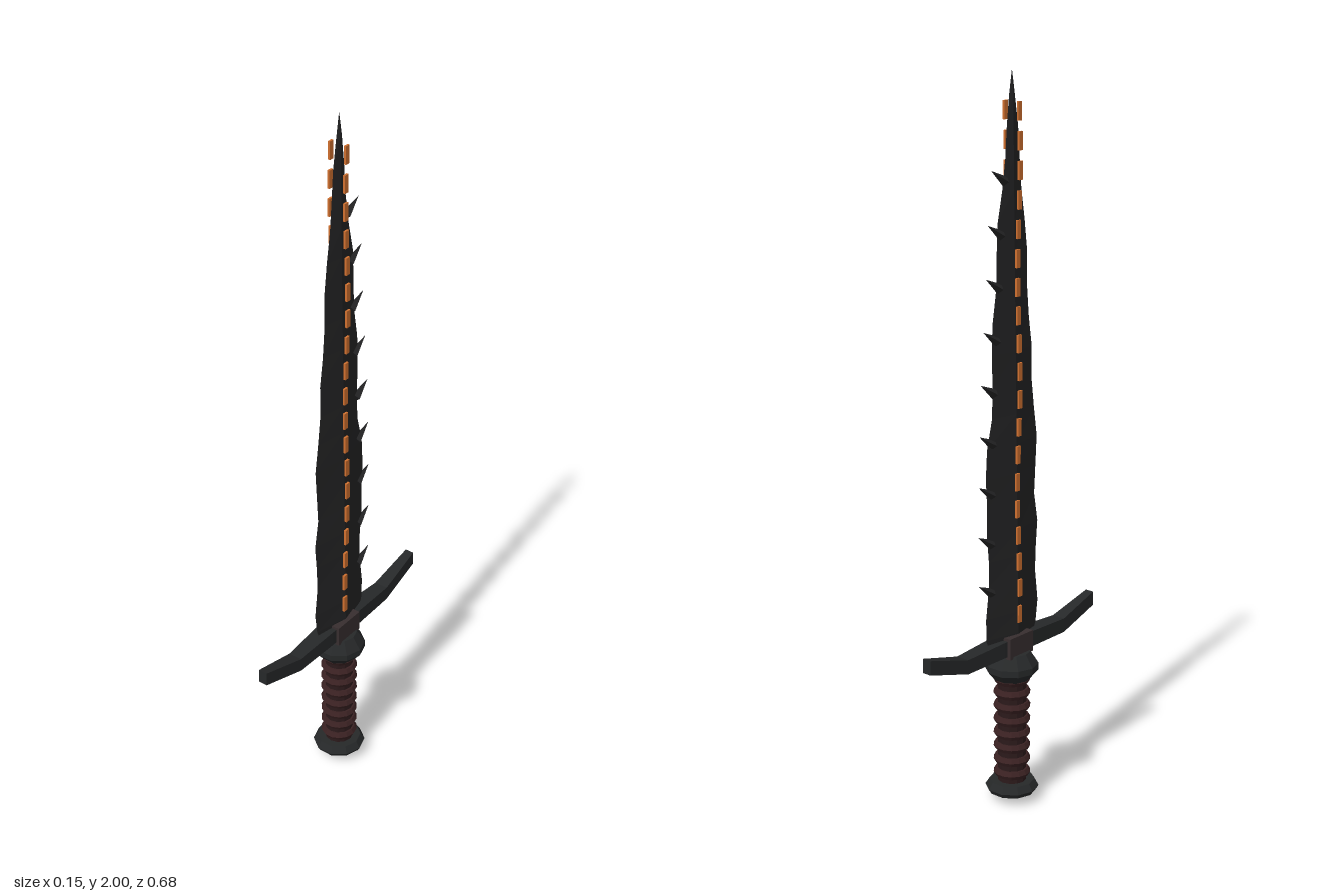
import * as THREE from 'three';

const mat = (name, color) => {
  const m = new THREE.MeshStandardMaterial({ color, flatShading: true });
  m.name = name;
  return m;
};

// Skins a loop of cross-sections (arrays of [x, y, z], same corner count) and caps the ends.
function loft(sections) {
  const pos = [], idx = [], n = sections[0].length;
  sections.forEach(s => s.forEach(p => pos.push(...p)));
  for (let i = 0; i < sections.length - 1; i++) {
    for (let j = 0; j < n; j++) {
      const a = i * n + j, b = i * n + (j + 1) % n;
      idx.push(a, b, b + n, a, b + n, a + n);
    }
  }
  const last = (sections.length - 1) * n;
  for (let j = 1; j < n - 1; j++) idx.push(0, j + 1, j, last, last + j, last + j + 1);
  const g = new THREE.BufferGeometry();
  g.setAttribute('position', new THREE.Float32BufferAttribute(pos, 3));
  g.setIndex(idx);
  const flat = g.toNonIndexed();
  flat.computeVertexNormals();
  return flat;
}

export function createModel() {
  const model = new THREE.Group();
  const steel = mat('black steel', 0x242425);
  const iron = mat('dark iron', 0x262829);
  const bronze = mat('dull brown metal', 0x372e2f);
  const leather = mat('maroon leather', 0x2c1a1b);
  const wrap = mat('leather wrap', 0x3a2122);
  const glow = mat('ember orange', 0xd0702f);

  const add = (name, geometry, material, parent = model) => {
    const m = new THREE.Mesh(geometry, material);
    m.name = name;
    parent.add(m);
    return m;
  };

  // Wavy blade: height, +z edge, -z edge
  const edges = [
    [0.46, 0.085, 0.09], [0.50, 0.1, 0.105], [0.56, 0.108, 0.106], [0.65, 0.097, 0.094],
    [0.72, 0.1, 0.094], [0.79, 0.106, 0.101], [0.87, 0.092, 0.1], [0.95, 0.097, 0.105],
    [1.03, 0.102, 0.1], [1.11, 0.09, 0.08], [1.19, 0.08, 0.077], [1.28, 0.08, 0.08],
    [1.36, 0.068, 0.077], [1.45, 0.06, 0.062], [1.54, 0.06, 0.06], [1.62, 0.05, 0.056],
    [1.7, 0.037, 0.038], [1.78, 0.03, 0.026], [1.86, 0.024, 0.02], [1.94, 0.011, 0.011], [2, 0.0005, 0.0005],
  ];
  const blade = edges.map(([y, f, b]) => {
    const t = 0.0235 * (1 - 0.85 * (y - 0.46) / 1.54) * (y > 1.99 ? 0.1 : 1);
    return [[0, y, f], [t, y, 0], [0, y, -b], [-t, y, 0]];
  });
  add('blade', loft(blade), steel);

  // Barbs along the back edge, pointing up and away
  const barbs = new THREE.Group();
  barbs.name = 'barbs';
  model.add(barbs);
  const tips = [0.135, 0.135, 0.133, 0.129, 0.124, 0.112, 0.102, 0.094, 0.08];
  tips.forEach((z, i) => {
    const y = 0.663 + i * 0.1365, len = 0.062;
    const dir = new THREE.Vector3(0, 0.52, -0.85).normalize();
    const barb = add('barb', new THREE.ConeGeometry(0.014, len, 4), steel, barbs);
    barb.quaternion.setFromUnitVectors(new THREE.Vector3(0, 1, 0), dir);
    barb.position.set(0, y, -z).addScaledVector(dir, -len / 2);
  });

  // Glowing dashes floating beside both faces
  const runes = new THREE.Group();
  runes.name = 'runes';
  model.add(runes);
  for (const side of [-1, 1]) {
    for (let i = 0; i < 19; i++) {
      const dash = add('rune', new THREE.BoxGeometry(0.006, 0.048, 0.014), glow, runes);
      dash.position.set(side * 0.0235, 0.553 + i * 0.0748, 0.005 * Math.sin(i * 0.8 + 1));
    }
  }

  // Crossguard: block and two upswept arms
  add('guardBlock', new THREE.BoxGeometry(0.07, 0.06, 0.096), bronze).position.y = 0.466;
  const path = [
    [-0.34, 0.5, 0.013, 0.02], [-0.2, 0.461, 0.02, 0.02], [-0.06, 0.466, 0.026, 0.022],
    [0.06, 0.466, 0.026, 0.022], [0.2, 0.461, 0.02, 0.02], [0.34, 0.5, 0.013, 0.02],
  ];
  add('crossguard', loft(path.map(([z, y, w, h]) =>
    [[-w, y - h, z], [w, y - h, z], [w, y + h, z], [-w, y + h, z]])), iron);

  // Ten-sided collar and pommel
  const turned = (name, profile, material) => {
    const g = new THREE.LatheGeometry(profile.map(p => new THREE.Vector2(...p)), 10);
    add(name, g, material).rotation.y = Math.PI / 2;
  };
  turned('collar', [[0, 0.365], [0.052, 0.365], [0.073, 0.39], [0.073, 0.408], [0.05, 0.442], [0, 0.442]], iron);
  turned('pommel', [[0, 0.003], [0.022, 0.009], [0.066, 0.03], [0.074, 0.043], [0.062, 0.062], [0, 0.062]], iron);

  // Grip with wrapped rings
  add('grip', new THREE.CylinderGeometry(0.04, 0.04, 0.34, 12), leather).position.y = 0.21;
  for (let i = 0; i < 8; i++) {
    const ring = add('gripRing', new THREE.TorusGeometry(0.038, 0.0135, 6, 14), wrap);
    ring.rotation.x = Math.PI / 2;
    ring.position.y = 0.087 + i * 0.0395;
  }
  return model;
}
